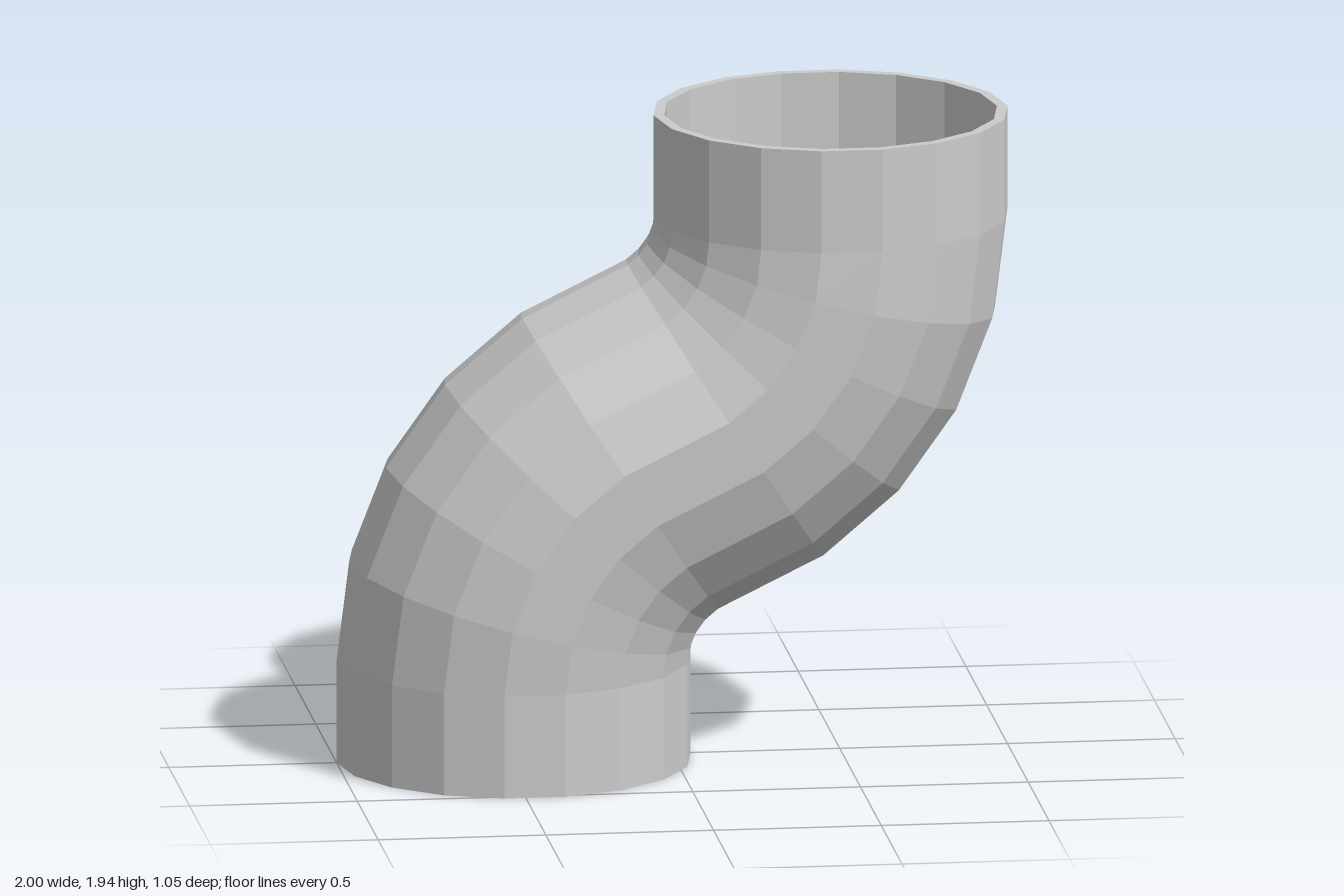
import * as THREE from 'three';

const SIDES = 18, HEIGHT = 1.94, OUTER = 0.5275, INNER = 0.496;
const STRAIGHT = 0.31, BEND_RADIUS = 0.697, BEND = 0.991, STEPS = 4;

// Ring centres and tilts along the S-shaped centreline, bottom to top
function centreline() {
  const lower = [{ x: -0.4725, y: 0, tilt: 0, widen: 1 }];
  for (let i = 0; i <= STEPS; i++) {
    const tilt = (BEND * i) / STEPS;
    lower.push({
      x: -0.4725 + BEND_RADIUS * (1 - Math.cos(tilt)),
      y: STRAIGHT + BEND_RADIUS * Math.sin(tilt),
      tilt,
      widen: i ? 1.015 : 1,
    });
  }
  // The upper elbow is the lower one turned half way round
  const upper = lower.map((s) => ({ ...s, x: -s.x, y: HEIGHT - s.y })).reverse();
  return [...lower, ...upper];
}

// Closed skin: up the outside, over the rim, down the bore and back
function pipeGeometry() {
  const path = centreline();
  const loops = [
    ...path.map((s) => ({ ...s, r: OUTER })),
    ...path.map((s) => ({ ...s, r: INNER })).reverse(),
  ];
  const positions = [], indices = [];
  for (const { x, y, tilt, widen, r } of loops) {
    for (let j = 0; j < SIDES; j++) {
      const t = (j / SIDES) * Math.PI * 2;
      const across = r * Math.cos(t);
      positions.push(
        x + across * Math.cos(tilt),
        y - across * Math.sin(tilt),
        r * widen * Math.sin(t)
      );
    }
  }
  for (let i = 0; i < loops.length; i++) {
    const n = (i + 1) % loops.length;
    for (let j = 0; j < SIDES; j++) {
      const k = (j + 1) % SIDES;
      const a = i * SIDES + j, b = n * SIDES + j;
      const c = n * SIDES + k, d = i * SIDES + k;
      indices.push(a, b, d, b, c, d);
    }
  }
  const geometry = new THREE.BufferGeometry();
  geometry.setAttribute('position', new THREE.Float32BufferAttribute(positions, 3));
  geometry.setIndex(indices);
  geometry.computeVertexNormals();
  return geometry;
}

export function createModel() {
  const group = new THREE.Group();
  group.name = 'offsetPipe';
  const material = new THREE.MeshStandardMaterial({ color: 0xcccccc, flatShading: true });
  const pipe = new THREE.Mesh(pipeGeometry(), material);
  pipe.name = 'pipe';
  group.add(pipe);
  return group;
}
